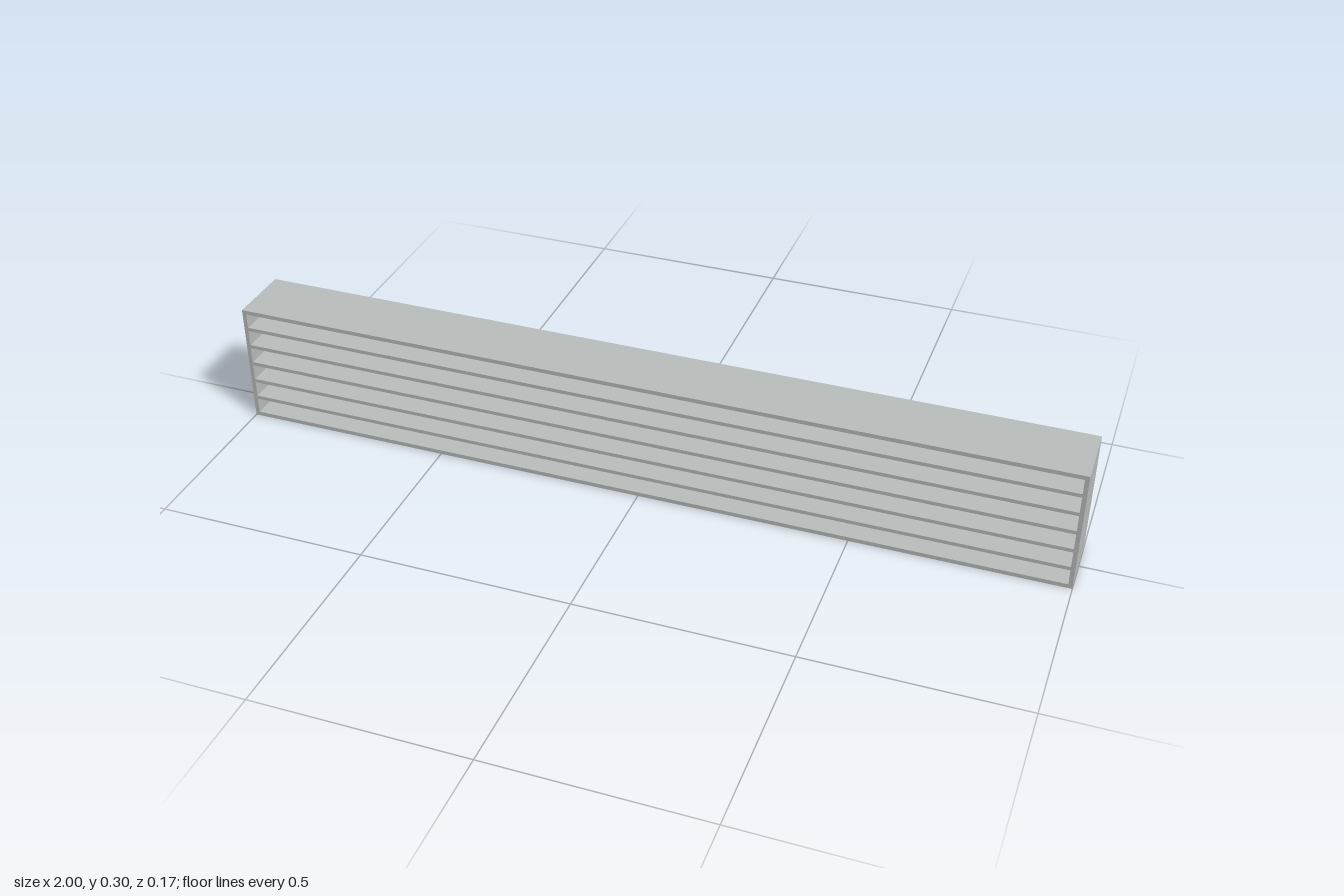
import * as THREE from 'three';

const W = 2, H = 0.297, WALL = 0.01;
const FRONT = 0.084, BACK = -0.075, DEPTH = FRONT - BACK;
const SLATS = 5;

export function createModel() {
  const model = new THREE.Group();
  model.name = 'louvreVent';
  const metal = new THREE.MeshStandardMaterial({ color: 0xbabebd });
  metal.name = 'light grey metal';
  const dark = new THREE.MeshStandardMaterial({ color: 0x2b2b2c });
  dark.name = 'dark backing';

  const add = (name, geometry, material, x, y, z) => {
    const mesh = new THREE.Mesh(geometry, material);
    mesh.name = name;
    mesh.position.set(x, y, z);
    model.add(mesh);
  };

  // open rectangular frame
  const rect = (path, w, h) => path
    .moveTo(-w / 2, -h / 2).lineTo(w / 2, -h / 2)
    .lineTo(w / 2, h / 2).lineTo(-w / 2, h / 2).closePath();
  const outline = new THREE.Shape();
  rect(outline, W, H);
  const opening = new THREE.Path();
  rect(opening, W - 2 * WALL, H - 2 * WALL);
  outline.holes.push(opening);
  add('frame', new THREE.ExtrudeGeometry(outline, { depth: DEPTH, bevelEnabled: false }),
    metal, 0, H / 2, BACK);

  // evenly spaced horizontal slats
  const slat = new THREE.BoxGeometry(W - 2 * WALL, 0.009, DEPTH - 0.002);
  for (let i = 1; i <= SLATS; i++) {
    const y = H / 2 + (i - (SLATS + 1) / 2) * 0.0483;
    add('slat' + i, slat, metal, 0, y, (FRONT + BACK) / 2);
  }

  // thin panel just behind the frame
  add('backPanel', new THREE.BoxGeometry(1.98, 0.273, 0.004), dark, 0, H / 2, -0.082);

  return model;
}
